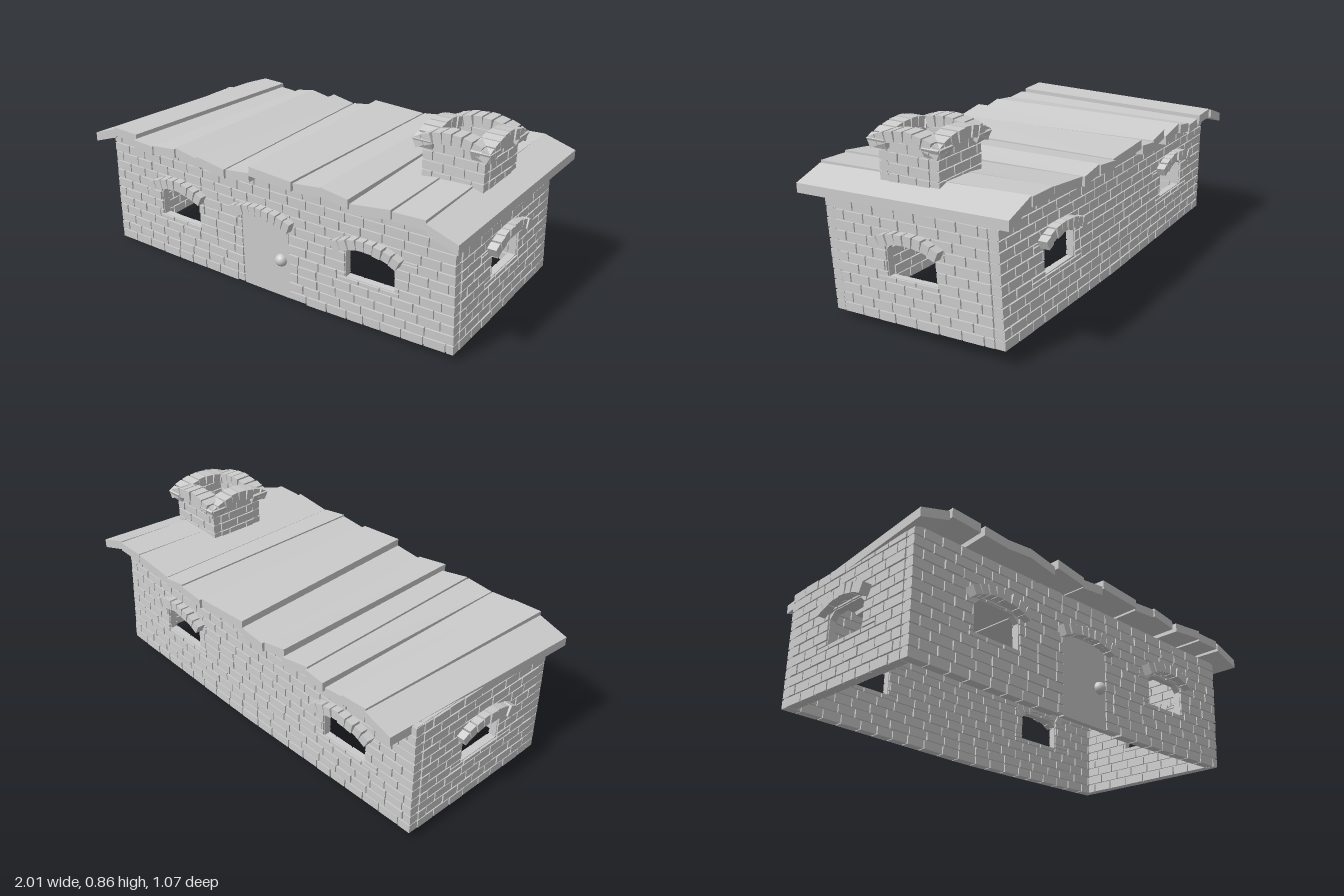
import * as THREE from 'three';
import { mergeGeometries } from 'three/addons/utils/BufferGeometryUtils.js';

const grey = new THREE.MeshStandardMaterial({ color: 0xcccccc, flatShading: true });
const smooth = new THREE.MeshStandardMaterial({ color: 0xcccccc });

let seed = 7;
const jitter = (a) => {
  seed = (seed * 16807) % 2147483647;
  return (seed / 2147483647 - 0.5) * 2 * a;
};

// Crooked ground line: the house rises towards its left and back and leans a little
function warp(geo) {
  const p = geo.attributes.position;
  for (let i = 0; i < p.count; i++) {
    const x = p.getX(i), y = p.getY(i), z = p.getZ(i);
    const lift = 0.035 * Math.max(0, x) ** 1.3 + 0.04 * (0.41 - z) / 0.84;
    p.setY(i, y + lift * (1 - 0.4 * y / 0.56));
    p.setZ(i, z + 0.03 * (y / 0.56) * (x + 1) / 2);
  }
  return geo;
}

function box(w, h, d, x, y, z, rot = 0) {
  return new THREE.BoxGeometry(w, h, d).rotateZ(rot).translate(x, y, z).toNonIndexed();
}

function finish(name, parts, matrix, bent) {
  const geo = mergeGeometries(parts).applyMatrix4(matrix);
  if (bent) warp(geo);
  geo.computeVertexNormals();
  const mesh = new THREE.Mesh(geo, grey);
  mesh.name = name;
  return mesh;
}

// Rectangle [x0, y0, x1, y1] minus an opening, as up to four rectangles
function cut(r, o) {
  const [x0, y0, x1, y1] = r;
  if (x1 <= o[0] || x0 >= o[2] || y1 <= o[1] || y0 >= o[3]) return [r];
  const a = Math.max(y0, o[1]), b = Math.min(y1, o[3]);
  return [[x0, y0, x1, a], [x0, b, x1, y1], [x0, a, o[0], b], [o[2], a, x1, b]]
    .filter((q) => q[2] - q[0] > 0.008 && q[3] - q[1] > 0.008);
}

// Mortar slab with holes, and rows of bricks standing proud on both sides
function wallParts(length, height, thick, openings) {
  const h = length / 2 - 0.005, gap = 0.006;
  const shape = new THREE.Shape([[-h, 0.003], [h, 0.003], [h, height], [-h, height]].map((p) => new THREE.Vector2(...p)));
  for (const [a, b, c, d] of openings) {
    const k = 0.03;
    shape.holes.push(new THREE.Path([[a, b], [a, d - k], [a + k, d], [c - k, d], [c, d - k], [c, b]]
      .map((p) => new THREE.Vector2(...p))));
  }
  const core = thick - 0.016;
  const slab = new THREE.ExtrudeGeometry(shape, { depth: core, bevelEnabled: false }).translate(0, 0, -core / 2);
  const parts = [slab];
  const rows = Math.round(height / 0.0465), rh = height / rows;
  for (let r = 0; r < rows; r++) {
    let x = -length / 2;
    let next = x + (r % 2 ? 0.05 : 0.1);
    while (x < length / 2 - 0.001) {
      if (next > length / 2 - 0.03) next = length / 2;
      let rects = [[x, r * rh, next, (r + 1) * rh]];
      for (const o of openings) rects = rects.flatMap((q) => cut(q, o));
      const d = thick + jitter(0.003);
      for (const [a, b, c, e] of rects)
        parts.push(box(c - a - gap, e - b - gap, d, (a + c) / 2, (b + e) / 2, 0));
      x = next;
      next = x + 0.098 + jitter(0.014);
    }
  }
  return parts;
}

// Row of blocks fanned along a shallow arc
function archParts(n, half, rise, cx, crown, cz, size, depth) {
  const R = (half * half + rise * rise) / (2 * rise), A = Math.asin(half / R);
  const parts = [];
  for (let i = 0; i < n; i++) {
    const a = A * (2 * (i + 0.5) / n - 1);
    const w = (2 * half / n) * 0.93;
    parts.push(box(w, size + jitter(0.004), depth + jitter(0.008),
      cx + R * Math.sin(a), crown + R * (Math.cos(a) - 1), cz, -a + jitter(0.03)));
  }
  return parts;
}

// Roof plank from its front and back x limits, top heights, back rise and z ends
function plank([fl, fr, bl, br, yl, yr, rise, zf, zb]) {
  const geo = new THREE.BoxGeometry(1, 1, 1).toNonIndexed();
  const p = geo.attributes.position;
  for (let i = 0; i < p.count; i++) {
    const right = p.getX(i) > 0, top = p.getY(i) > 0, front = p.getZ(i) > 0;
    p.setXYZ(i, front ? (right ? fr : fl) : (right ? br : bl),
      (right ? yr : yl) + (front ? 0 : rise) - (top ? 0 : 0.042), front ? zf : zb);
  }
  geo.computeVertexNormals();
  return geo;
}

export function createModel() {
  const house = new THREE.Group();
  house.name = 'brickHouse';
  const place = (angle, x, y, z) => new THREE.Matrix4().makeRotationY(angle).setPosition(x, y, z);

  // Walls: windows given by centre along the wall
  const H = 0.56, T = 0.045, half = Math.PI / 2;
  const walls = [
    ['frontWall', 1.9, [-0.52, 0.55], place(0, -0.015, 0, 0.3875)],
    ['backWall', 1.9, [-0.52, 0.57], place(Math.PI, -0.015, 0, -0.4075)],
    ['leftWall', 0.75, [0], place(half, 0.9125, 0, -0.01)],
    ['rightWall', 0.75, [0], place(-half, -0.9425, 0, -0.01)],
  ];
  for (const [name, length, windows, m] of walls) {
    const holes = windows.map((c) => [c - 0.12, 0.21, c + 0.12, 0.36]);
    const arches = windows.flatMap((c) => archParts(8, 0.16, 0.042, c, 0.402, 0.018, 0.046, 0.085));
    if (name === 'frontWall') {
      holes.push([-0.135, 0.006, 0.125, 0.38]);
      arches.push(...archParts(9, 0.165, 0.035, -0.005, 0.408, 0.018, 0.046, 0.085));
    }
    house.add(finish(name, wallParts(length, H, T, holes), m, true));
    house.add(finish(name + 'Arches', arches, m, true));
  }

  // Door and knob
  house.add(finish('door', [box(0.262, 0.385, 0.028, -0.005, 0.1965, 0.004)], walls[0][3], true));
  const knob = new THREE.Mesh(new THREE.SphereGeometry(0.029, 20, 14), smooth);
  knob.name = 'doorKnob';
  knob.position.set(0.07, 0.19, 0.412);
  house.add(knob);

  // Roof of uneven planks
  const roof = new THREE.Group();
  roof.name = 'roof';
  [
    [-1, -0.86, -0.93, -0.8, 0.575, 0.622, 0.01, 0.49, -0.54],
    [-0.855, -0.71, -0.795, -0.67, 0.635, 0.63, 0, 0.5, -0.53],
    [-0.705, -0.585, -0.668, -0.57, 0.612, 0.605, 0, 0.52, -0.52],
    [-0.583, -0.45, -0.555, -0.46, 0.608, 0.622, 0.01, 0.515, -0.52],
    [-0.446, -0.302, -0.457, -0.312, 0.628, 0.602, 0.01, 0.51, -0.51],
    [-0.3, -0.142, -0.31, -0.19, 0.628, 0.605, 0.015, 0.53, -0.5],
    [-0.14, -0.01, -0.187, -0.06, 0.602, 0.618, 0.015, 0.52, -0.51],
    [-0.006, 0.218, -0.054, 0.22, 0.65, 0.638, 0.01, 0.525, -0.505],
    [0.221, 0.358, 0.223, 0.35, 0.63, 0.645, 0.015, 0.515, -0.515],
    [0.361, 0.495, 0.353, 0.476, 0.65, 0.632, 0.015, 0.52, -0.51],
    [0.51, 0.698, 0.48, 0.698, 0.622, 0.648, 0.025, 0.53, -0.5],
    [0.701, 0.848, 0.701, 0.848, 0.64, 0.646, 0.035, 0.525, -0.5],
    [0.85, 0.99, 0.85, 1, 0.634, 0.588, 0.05, 0.53, -0.495],
  ].forEach((row) => {
    const mesh = new THREE.Mesh(plank(row), grey);
    mesh.name = 'roofPlank';
    roof.add(mesh);
  });
  house.add(roof);

  // Chimney: hollow brick shaft with an arched row of blocks on each side
  const cx = 0.755, cz = 0.025, base = 0.59, o = 0.122;
  for (let i = 0; i < 4; i++) {
    const a = i * half, s = Math.sin(a), c = Math.cos(a);
    const m = place(a, cx + s * o, base, cz + c * o);
    house.add(finish('chimneyWall', wallParts(i % 2 ? 0.2 : 0.285, 0.215, 0.042, []), m, false));
    house.add(finish('chimneyCap', archParts(8, 0.168, 0.045, 0, 0.246, 0.007, 0.045, 0.08), m, false));
  }
  return house;
}
